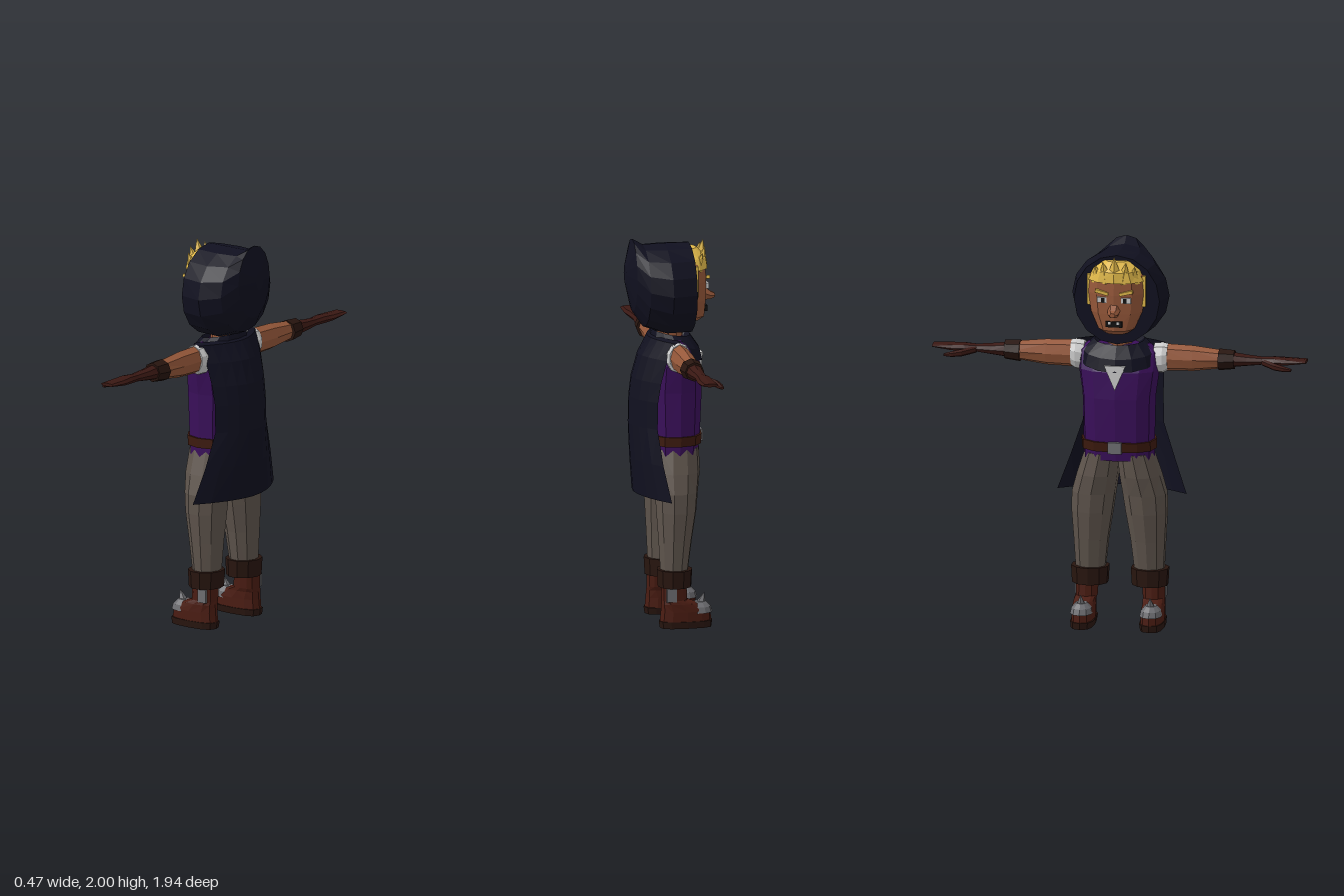
import * as THREE from 'three';

const COL = {
  navy: 0x10101f, purple: 0x3a0f5a, skin: 0x96583a, pants: 0x5e544c, glove: 0x3a1813, boot: 0x4a1c12,
  cuff: 0x28150f, belt: 0x3c1a0e, metal: 0x6e6e72, white: 0xc4c4c4, hair: 0xe0b84a, dark: 0x111111,
};

const mat = (color, side = THREE.FrontSide) =>
  new THREE.MeshStandardMaterial({ color: COL[color], flatShading: true, side });

// Point on a rounded section; p < 1 makes it boxier. u and v run -1..1.
function section(a, p) {
  const pow = (t) => Math.sign(t) * Math.pow(Math.abs(t), p);
  return [pow(Math.cos(a)), pow(Math.sin(a))];
}

// Skin a list of point rows into a faceted geometry.
function skin(rows, closed, caps) {
  const pos = [], n = rows[0].length;
  const tri = (a, b, c) => pos.push(...a, ...b, ...c);
  for (let i = 0; i < rows.length - 1; i++) {
    for (let j = 0; j < (closed ? n : n - 1); j++) {
      const k = (j + 1) % n, A = rows[i], B = rows[i + 1];
      tri(A[j], A[k], B[k]);
      tri(A[j], B[k], B[j]);
    }
  }
  if (caps) {
    const s = rows[0], e = rows[rows.length - 1];
    for (let j = 1; j < n - 1; j++) {
      tri(s[0], s[j + 1], s[j]);
      tri(e[0], e[j], e[j + 1]);
    }
  }
  const g = new THREE.BufferGeometry();
  g.setAttribute('position', new THREE.Float32BufferAttribute(pos, 3));
  g.computeVertexNormals();
  return g;
}

// Loft along an axis. Each ring is [position, min, max, min, max, tilt] over the two
// other axes: y -> (x, z), x -> (y, z), z -> (x, y).
function loft(axis, rings, { sides = 10, p = 1, caps = true } = {}) {
  const rows = rings.map(([t, a0, a1, b0, b1, tilt = 0]) => Array.from({ length: sides }, (_, j) => {
    const [c, s] = section((j / sides) * Math.PI * 2, p);
    const mid = (lo, hi, f) => (lo + hi) / 2 + ((hi - lo) / 2) * f;
    if (axis === 'y') return [mid(a0, a1, s), t + tilt * c, mid(b0, b1, c)];
    if (axis === 'x') return [t, mid(a0, a1, c), mid(b0, b1, s)];
    return [mid(a0, a1, c), mid(b0, b1, s), t];
  }));
  return skin(rows, true, caps);
}

// Mirror across x and keep the faces turned outward.
function mirrored(geo) {
  const g = geo.index ? geo.toNonIndexed() : geo.clone();
  const p = g.attributes.position, a = new THREE.Vector3(), b = new THREE.Vector3();
  g.scale(-1, 1, 1);
  for (let i = 0; i < p.count; i += 3) {
    a.fromBufferAttribute(p, i + 1);
    b.fromBufferAttribute(p, i + 2);
    p.setXYZ(i + 1, b.x, b.y, b.z);
    p.setXYZ(i + 2, a.x, a.y, a.z);
  }
  g.computeVertexNormals();
  return g;
}

const box = (w, h, d, x, y, z, tilt = 0) =>
  new THREE.BoxGeometry(w, h, d).rotateZ(tilt).translate(x, y, z);
const spike = (r, h, x, y, z, lean = 0, roll = 0, sides = 5) =>
  new THREE.ConeGeometry(r, h, sides).translate(0, h / 2, 0).rotateX(lean).rotateZ(roll).translate(x, y, z);

export function createModel() {
  const root = new THREE.Group();
  const body = new THREE.Group();
  body.name = 'hoodedFigure';
  body.rotation.y = -Math.PI / 2; // figure looks toward -x, arms along z
  root.add(body);

  const add = (name, geo, color, side) => {
    const m = new THREE.Mesh(geo, mat(color, side));
    m.name = name;
    body.add(m);
  };
  const pair = (name, geo, color) => {
    add('left' + name, geo, color);
    add('right' + name, mirrored(geo), color);
  };

  // Torso, belt and shirt opening
  add('tunic', loft('y', [
    [0.89, -0.185, 0.185, -0.11, 0.14], [1.0, -0.185, 0.185, -0.11, 0.15],
    [1.22, -0.19, 0.19, -0.12, 0.16], [1.36, -0.21, 0.21, -0.11, 0.15],
    [1.45, -0.21, 0.21, -0.08, 0.1], [1.49, -0.16, 0.16, -0.05, 0.06],
  ], { sides: 12, p: 0.8 }), 'purple');
  add('belt', loft('y', [
    [0.94, -0.195, 0.195, -0.12, 0.155], [0.99, -0.195, 0.195, -0.12, 0.16],
  ], { sides: 12, p: 0.8 }), 'belt');
  add('buckle', box(0.07, 0.06, 0.02, 0, 0.965, 0.158), 'metal');
  const vee = new THREE.Shape([[-0.055, 1.4], [0, 1.27], [0.055, 1.4]].map((q) => new THREE.Vector2(...q)));
  add('shirtFront', new THREE.ExtrudeGeometry(vee, { depth: 0.02, bevelEnabled: false }).translate(0, 0, 0.144), 'white');

  // Arms: sleeve trim, bare arm, glove cuff, mitten hand with thumb
  pair('Sleeve', loft('x', [
    [0.18, 1.33, 1.49, -0.06, 0.06], [0.225, 1.335, 1.495, -0.065, 0.065], [0.25, 1.35, 1.49, -0.055, 0.055],
  ]), 'white');
  pair('Arm', loft('x', [
    [0.2, 1.345, 1.49, -0.05, 0.05], [0.38, 1.35, 1.485, -0.05, 0.05], [0.56, 1.375, 1.465, -0.042, 0.042],
  ], { sides: 8 }), 'skin');
  pair('GloveCuff', loft('x', [
    [0.515, 1.36, 1.475, -0.06, 0.06], [0.595, 1.37, 1.47, -0.05, 0.05],
  ], { sides: 8 }), 'cuff');
  pair('Glove', loft('x', [
    [0.58, 1.38, 1.46, -0.044, 0.044], [0.66, 1.39, 1.45, -0.038, 0.038], [0.74, 1.4, 1.443, -0.03, 0.032],
    [0.8, 1.4, 1.447, -0.038, 0.042], [0.87, 1.405, 1.443, -0.046, 0.046], [0.968, 1.42, 1.438, -0.042, 0.042],
  ], { sides: 8 }), 'glove');
  pair('Thumb', loft('x', [
    [0.74, 1.4, 1.435, 0, 0.035], [0.81, 1.387, 1.425, 0.035, 0.08],
    [0.86, 1.385, 1.415, 0.052, 0.09], [0.9, 1.39, 1.405, 0.068, 0.086],
  ], { sides: 6 }), 'glove');

  // Trousers and boots
  pair('Leg', loft('y', [
    [0.27, 0.075, 0.23, -0.08, 0.06], [0.45, 0.055, 0.24, -0.09, 0.085], [0.6, 0.03, 0.25, -0.1, 0.11],
    [0.7, 0.015, 0.248, -0.105, 0.12], [0.8, 0.0, 0.22, -0.11, 0.135], [0.92, -0.01, 0.18, -0.1, 0.135],
  ]), 'pants');
  pair('BootCuff', loft('y', [
    [0.21, 0.06, 0.25, -0.095, 0.08], [0.3, 0.055, 0.255, -0.1, 0.085],
  ]), 'cuff');
  pair('Sole', loft('y', [
    [0, 0.12, 0.24, -0.09, 0.18], [0.035, 0.115, 0.242, -0.095, 0.184],
  ], { sides: 12, p: 0.7 }), 'cuff');
  pair('Boot', loft('y', [
    [0.035, 0.12, 0.238, -0.09, 0.178], [0.085, 0.12, 0.238, -0.085, 0.175], [0.125, 0.122, 0.235, -0.082, 0.11],
    [0.145, 0.117, 0.23, -0.08, 0.055], [0.24, 0.112, 0.23, -0.08, 0.05],
  ], { sides: 12, p: 0.8 }), 'boot');
  pair('ToeCap', loft('y', [
    [0.075, 0.122, 0.238, 0.05, 0.185], [0.105, 0.128, 0.232, 0.055, 0.175], [0.13, 0.15, 0.21, 0.08, 0.15],
  ]), 'metal');
  pair('ToeSpike', spike(0.025, 0.06, 0.18, 0.12, 0.125, 0.3), 'metal');
  pair('BootClasp', box(0.014, 0.07, 0.05, 0.228, 0.175, -0.038), 'metal');

  // Head and face
  add('neck', loft('y', [[1.44, -0.07, 0.07, -0.07, 0.07], [1.6, -0.065, 0.065, -0.06, 0.07]]), 'skin');
  add('head', loft('y', [
    [1.565, -0.065, 0.065, -0.04, 0.15], [1.59, -0.1, 0.1, -0.07, 0.182], [1.68, -0.145, 0.145, -0.12, 0.188],
    [1.78, -0.16, 0.16, -0.13, 0.19], [1.87, -0.15, 0.15, -0.13, 0.185], [1.93, -0.1, 0.1, -0.1, 0.14],
  ], { sides: 12, p: 0.8 }), 'skin');
  add('nose', loft('z', [
    [0.17, -0.035, 0.035, 1.66, 1.75], [0.215, -0.028, 0.028, 1.667, 1.71], [0.235, -0.015, 0.015, 1.675, 1.7],
  ], { sides: 6 }), 'skin');
  pair('Eye', box(0.05, 0.028, 0.02, 0.063, 1.755, 0.178), 'white');
  pair('Pupil', box(0.018, 0.024, 0.02, 0.057, 1.755, 0.181), 'dark');
  pair('Brow', box(0.07, 0.016, 0.02, 0.063, 1.795, 0.182, 0.25), 'hair');
  add('mouth', box(0.085, 0.03, 0.02, 0, 1.628, 0.179), 'dark');
  pair('Tooth', box(0.014, 0.014, 0.02, 0.022, 1.635, 0.182), 'white');

  // Hair: cap, temple strips and a fringe of upright tufts
  add('hairCap', loft('y', [
    [1.845, -0.158, 0.158, -0.1, 0.196], [1.9, -0.13, 0.13, -0.09, 0.19], [1.945, -0.07, 0.07, -0.06, 0.14],
  ], { sides: 12, p: 0.85 }), 'hair');
  pair('TempleHair', box(0.02, 0.16, 0.045, 0.142, 1.79, 0.095), 'hair');
  add('hairTuft', spike(0.05, 0.13, 0, 1.855, 0.15, 0.2), 'hair');
  pair('HairTuftInner', spike(0.045, 0.11, 0.045, 1.85, 0.145, 0.25, -0.15), 'hair');
  pair('HairTuftOuter', spike(0.04, 0.09, 0.09, 1.845, 0.125, 0.3, -0.15), 'hair');

  // Hood: outer shell from the peaked back to the rim, then the lining back inside
  const rim = [0.1, -0.222, 0.222, 1.5, 1.97];
  add('hood', loft('z', [
    [-0.232, -0.03, 0.03, 1.77, 1.87], [-0.195, -0.13, 0.13, 1.62, 2.0], [-0.14, -0.205, 0.205, 1.54, 1.968],
    [-0.03, -0.252, 0.252, 1.5, 1.97], rim,
  ], { sides: 16 }).clone(), 'navy', THREE.DoubleSide);
  add('hoodLining', loft('z', [
    rim, [0.098, -0.205, 0.205, 1.52, 1.952], [-0.03, -0.225, 0.225, 1.53, 1.945], [-0.12, -0.16, 0.16, 1.6, 1.92],
  ], { sides: 16 , caps: false }), 'purple', THREE.DoubleSide);

  // Cowl draped around the neck
  add('cowl', loft('y', [
    [1.41, -0.205, 0.205, -0.12, 0.166, -0.045], [1.46, -0.19, 0.19, -0.1, 0.15, -0.03],
    [1.51, -0.13, 0.13, -0.09, 0.105, -0.015], [1.47, -0.08, 0.08, -0.06, 0.08, -0.02],
  ], { sides: 14, caps: false }), 'navy', THREE.DoubleSide);

  // Cape: rows of [height, half width, edge depth, back depth]
  const cape = [
    [1.5, 0.23, 0.02, -0.09], [1.49, 0.235, -0.02, -0.115], [1.4, 0.222, -0.06, -0.165], [1.28, 0.212, -0.09, -0.2],
    [1.18, 0.208, -0.105, -0.212], [1.04, 0.21, -0.108, -0.215], [0.86, 0.27, -0.09, -0.205], [0.68, 0.335, -0.06, -0.19],
  ].map(([y, w, edge, back]) => Array.from({ length: 9 }, (_, j) => {
    const s = j / 4 - 1;
    return [w * s, y, back + (edge - back) * Math.pow(Math.abs(s), 1.8)];
  }));
  add('cape', skin(cape, false, false), 'navy', THREE.DoubleSide);

  return root;
}
